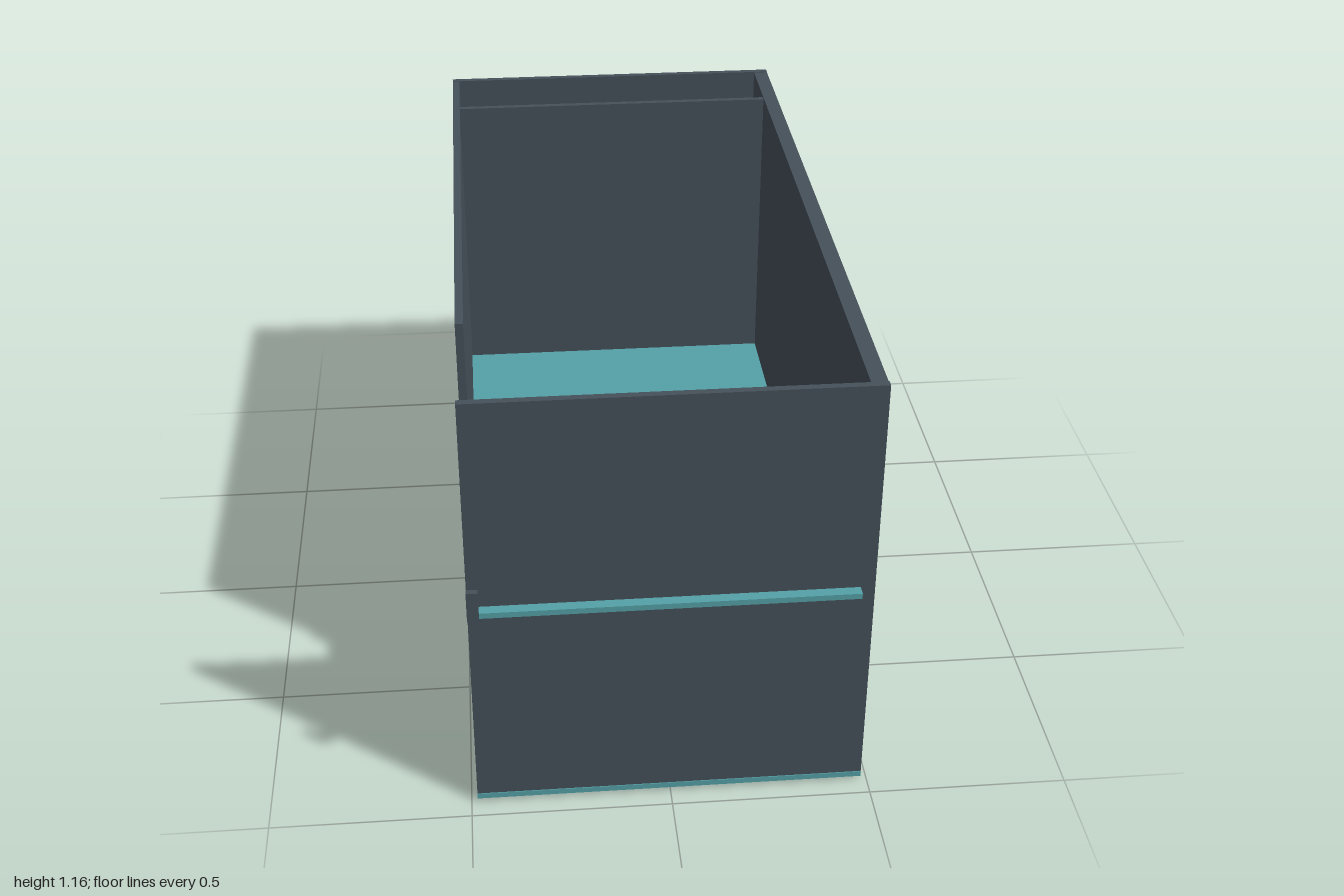
import * as THREE from 'three';

const wallMat = new THREE.MeshStandardMaterial({ color: 0x46515a });
const floorMat = new THREE.MeshStandardMaterial({ color: 0x55a2a8 });
const stepMat = new THREE.MeshStandardMaterial({ color: 0x5b8fc9 });
const treadMat = new THREE.MeshStandardMaterial({ color: 0x767c86 });

// Box given by its limits on each axis
function block(parent, name, mat, [x0, x1], [y0, y1], [z0, z1]) {
  const mesh = new THREE.Mesh(new THREE.BoxGeometry(x1 - x0, y1 - y0, z1 - z0), mat);
  mesh.position.set((x0 + x1) / 2, (y0 + y1) / 2, (z0 + z1) / 2);
  mesh.name = name;
  parent.add(mesh);
  return mesh;
}

// Side profile in (z, y), extruded across x
function sideExtrude(parent, name, mat, points, x0, x1) {
  const shape = new THREE.Shape(points.map(([z, y]) => new THREE.Vector2(-z, y)));
  const geo = new THREE.ExtrudeGeometry(shape, { depth: x1 - x0, bevelEnabled: false });
  geo.rotateY(Math.PI / 2);
  geo.translate(x0, 0, 0);
  const mesh = new THREE.Mesh(geo, mat);
  mesh.name = name;
  parent.add(mesh);
}

// Straight flight from (zStart, yStart) up to (zEnd, yEnd)
function flight(name, x0, x1, zStart, zEnd, yStart, yEnd) {
  const group = new THREE.Group();
  group.name = name;
  const count = 15;
  const run = (zEnd - zStart) / count;
  const rise = (yEnd - yStart) / count;
  const profile = [[zStart, yStart]];
  for (let i = 0; i < count; i++) {
    const y = yStart + (i + 1) * rise;
    profile.push([zStart + i * run, y], [zStart + (i + 1) * run, y]);
    // Grey tread set back from the blue nosing
    const a = zStart + (i + 0.3) * run;
    const b = zStart + (i + 1) * run;
    block(group, 'tread', treadMat, [x0 + 0.008, x1 - 0.008], [y - 0.002, y + 0.002],
      [Math.min(a, b), Math.max(a, b)]);
  }
  // Sloping underside
  profile.push([zEnd, yEnd - 0.045], [zStart + run * 1.5, yStart]);
  sideExtrude(group, 'steps', stepMat, profile, x0, x1);
  return group;
}

// Sloping handrail along a flight
function handrail(parent, x0, x1, zA, yA, zB, yB) {
  sideExtrude(parent, 'handrail', wallMat,
    [[zA, yA], [zB, yB], [zB, yB + 0.02], [zA, yA + 0.02]], x0, x1);
}

export function createModel() {
  const model = new THREE.Group();
  model.name = 'stairwell';

  // Floors and landings
  block(model, 'groundFloor', floorMat, [-0.485, 0.485], [0.01, 0.025], [-1, 0.95]);
  block(model, 'middleLanding', floorMat, [-0.465, 0.445], [0.295, 0.31], [-0.775, -0.385]);
  block(model, 'upperLanding', floorMat, [-0.485, 0.45], [0.59, 0.605], [0.58, 0.975]);

  // Enclosing walls, open on top and beside the front of the right-hand side
  block(model, 'backWall', wallMat, [-0.485, 0.485], [0.025, 1.157], [-1, -0.982]);
  block(model, 'shaftWall', wallMat, [-0.465, 0.445], [0.025, 1.15], [-0.792, -0.775]);
  block(model, 'frontWall', wallMat, [-0.485, 0.485], [0.025, 1.16], [0.93, 0.948]);
  block(model, 'leftWall', wallMat, [0.445, 0.485], [0.025, 1.155], [-0.982, 0.93]);
  block(model, 'rightWall', wallMat, [-0.485, -0.465], [0.025, 1.155], [-0.982, 0.57]);

  // Kerb and end posts at the side opening
  block(model, 'openingKerb', floorMat, [-0.485, -0.457], [0.588, 0.607], [0.57, 0.98]);
  for (const z of [0.57, 0.985]) {
    block(model, 'openingPost', wallMat, [-0.485, -0.457], [0.602, 0.682], [z, z + 0.015]);
  }

  // Two flights doubling back at the middle landing
  model.add(flight('lowerFlight', -0.455, -0.068, 0.575, -0.385, 0, 0.31));
  model.add(flight('upperFlight', 0.068, 0.445, -0.385, 0.58, 0.31, 0.605));

  // Handrails on the wall and either side of the well
  handrail(model, -0.468, -0.452, 0.4, 0.13, -0.2, 0.325);
  handrail(model, -0.066, -0.052, 0.4, 0.13, -0.2, 0.325);
  handrail(model, 0.048, 0.066, -0.22, 0.43, 0.38, 0.615);

  return model;
}
